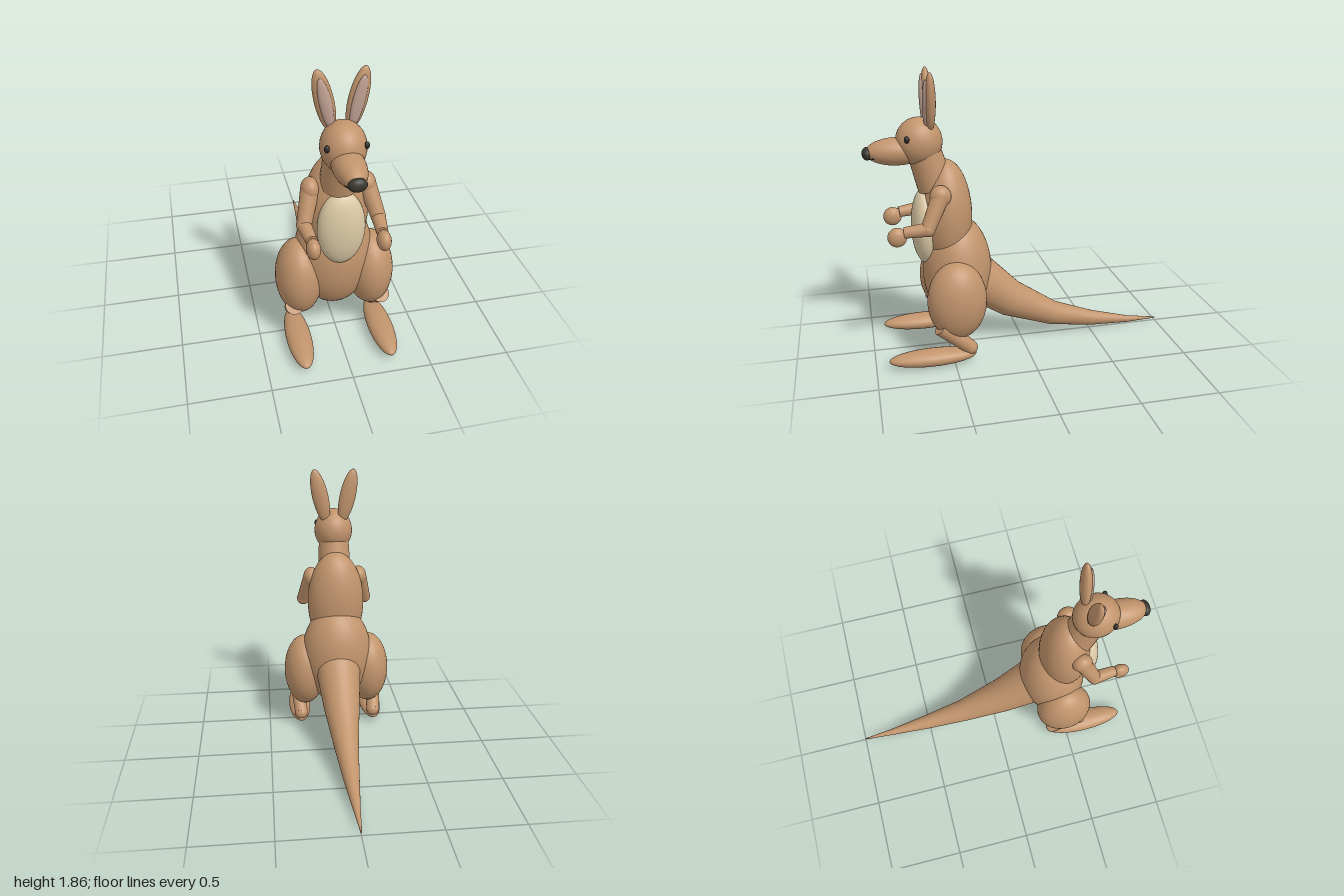
import * as THREE from 'three';

const mat = (name, color) => {
  const m = new THREE.MeshStandardMaterial({ color });
  m.name = name;
  return m;
};
const V = (x, y, z) => new THREE.Vector3(x, y, z);

export function createModel() {
  const model = new THREE.Group();
  model.name = 'kangaroo';
  const fur = mat('fur', 0xc1946c);
  const cream = mat('cream', 0xdccaa6);
  const pink = mat('innerEarPink', 0xc0a092);
  const noseDark = mat('noseDark', 0x38362e);
  const eyeDark = mat('eyeDark', 0x2a2926);

  const add = (name, geometry, material) => {
    const m = new THREE.Mesh(geometry, material);
    m.name = name;
    model.add(m);
    return m;
  };
  // Ellipsoid from centre, radii and a roll about z
  const ball = (name, material, c, r, roll = 0) => {
    const m = add(name, new THREE.SphereGeometry(1, 36, 24), material);
    m.position.set(...c);
    m.scale.set(...r);
    m.rotation.z = roll;
    return m;
  };
  // Tapered limb between two points
  const limb = (name, a, b, ra, rb) => {
    const dir = b.clone().sub(a);
    const m = add(name, new THREE.CylinderGeometry(rb, ra, dir.length(), 28), fur);
    m.position.copy(a).add(b).multiplyScalar(0.5);
    m.quaternion.setFromUnitVectors(V(0, 1, 0), dir.normalize());
    return m;
  };

  // Body
  ball('hips', fur, [0, 0.55, 0.43], [0.25, 0.37, 0.226]);
  ball('torso', fur, [0, 0.93, 0.49], [0.2, 0.367, 0.165]);
  ball('belly', cream, [0, 0.863, 0.632], [0.147, 0.25, 0.088]);
  limb('neck', V(0, 1.125, 0.552), V(0, 1.37, 0.622), 0.116, 0.106);

  // Head
  ball('head', fur, [0, 1.42, 0.647], [0.134, 0.153, 0.147]);
  ball('snout', fur, [0, 1.365, 0.78], [0.095, 0.088, 0.2]);
  ball('nose', noseDark, [0, 1.359, 0.968], [0.054, 0.041, 0.032]);
  const smile = new THREE.CatmullRomCurve3([
    V(-0.06, 1.337, 0.926), V(-0.032, 1.328, 0.944), V(0, 1.325, 0.951),
    V(0.032, 1.328, 0.944), V(0.06, 1.337, 0.926)]);
  add('mouth', new THREE.TubeGeometry(smile, 20, 0.004, 8), eyeDark);

  for (const s of [1, -1]) {
    const side = s > 0 ? 'left' : 'right';

    // Face and ears
    ball(side + 'Eye', eyeDark, [s * 0.112, 1.457, 0.73], [0.016, 0.022, 0.016]);
    ball(side + 'Ear', fur, [s * 0.096, 1.674, 0.58], [0.056, 0.192, 0.035], -s * 0.22);
    ball(side + 'InnerEar', pink, [s * 0.092, 1.665, 0.606], [0.036, 0.158, 0.021], -s * 0.22);

    // Arm
    const shoulder = V(s * 0.17, 1.105, 0.545);
    const elbow = V(s * 0.225, 0.915, 0.636);
    const wrist = V(s * 0.209, 0.9, 0.78);
    ball(side + 'Shoulder', fur, shoulder.toArray(), [0.056, 0.07, 0.067]);
    limb(side + 'UpperArm', shoulder, elbow, 0.057, 0.045);
    ball(side + 'Elbow', fur, elbow.toArray(), [0.046, 0.046, 0.046]);
    limb(side + 'Forearm', elbow, wrist, 0.044, 0.035);
    ball(side + 'Hand', fur, [s * 0.208, 0.873, 0.823], [0.042, 0.062, 0.06]);

    // Leg
    const knee = V(s * 0.282, 0.275, 0.584);
    const ankle = V(s * 0.268, 0.1, 0.393);
    ball(side + 'Thigh', fur, [s * 0.23, 0.422, 0.467], [0.15, 0.261, 0.191]);
    limb(side + 'Shin', knee, ankle, 0.057, 0.046);
    ball(side + 'Ankle', fur, ankle.toArray(), [0.047, 0.045, 0.045]);
    ball(side + 'Foot', fur, [s * 0.269, 0.059, 0.638], [0.08, 0.053, 0.281]);
  }

  // Tail: round sections [y, z, radius], each square to the tail's path
  const rings = [
    [0.48, 0.31, 0.16], [0.295, 0.073, 0.125], [0.15, -0.228, 0.082],
    [0.079, -0.515, 0.052], [0.038, -0.788, 0.023], [0.026, -1, 0.004]];
  const sides = 32, pos = [], idx = [];
  rings.forEach(([y, z, r], i) => {
    const a = rings[Math.max(i - 1, 0)], b = rings[Math.min(i + 1, rings.length - 1)];
    const t = V(0, b[0] - a[0], b[1] - a[1]).normalize();
    for (let j = 0; j < sides; j++) {
      const u = (j / sides) * Math.PI * 2;
      const up = Math.sin(u) * r;
      pos.push(Math.cos(u) * r, y - t.z * up, z + t.y * up);
      if (i === 0) continue;
      const k = (j + 1) % sides, p = (i - 1) * sides, q = i * sides;
      idx.push(p + j, q + j, q + k, p + j, q + k, p + k);
    }
  });
  // Close the tip
  const tip = pos.length / 3, last = (rings.length - 1) * sides;
  pos.push(0, 0.026, -1);
  for (let j = 0; j < sides; j++) idx.push(last + (j + 1) % sides, last + j, tip);
  const tail = new THREE.BufferGeometry();
  tail.setAttribute('position', new THREE.Float32BufferAttribute(pos, 3));
  tail.setIndex(idx);
  tail.computeVertexNormals();
  add('tail', tail, fur);

  return model;
}
